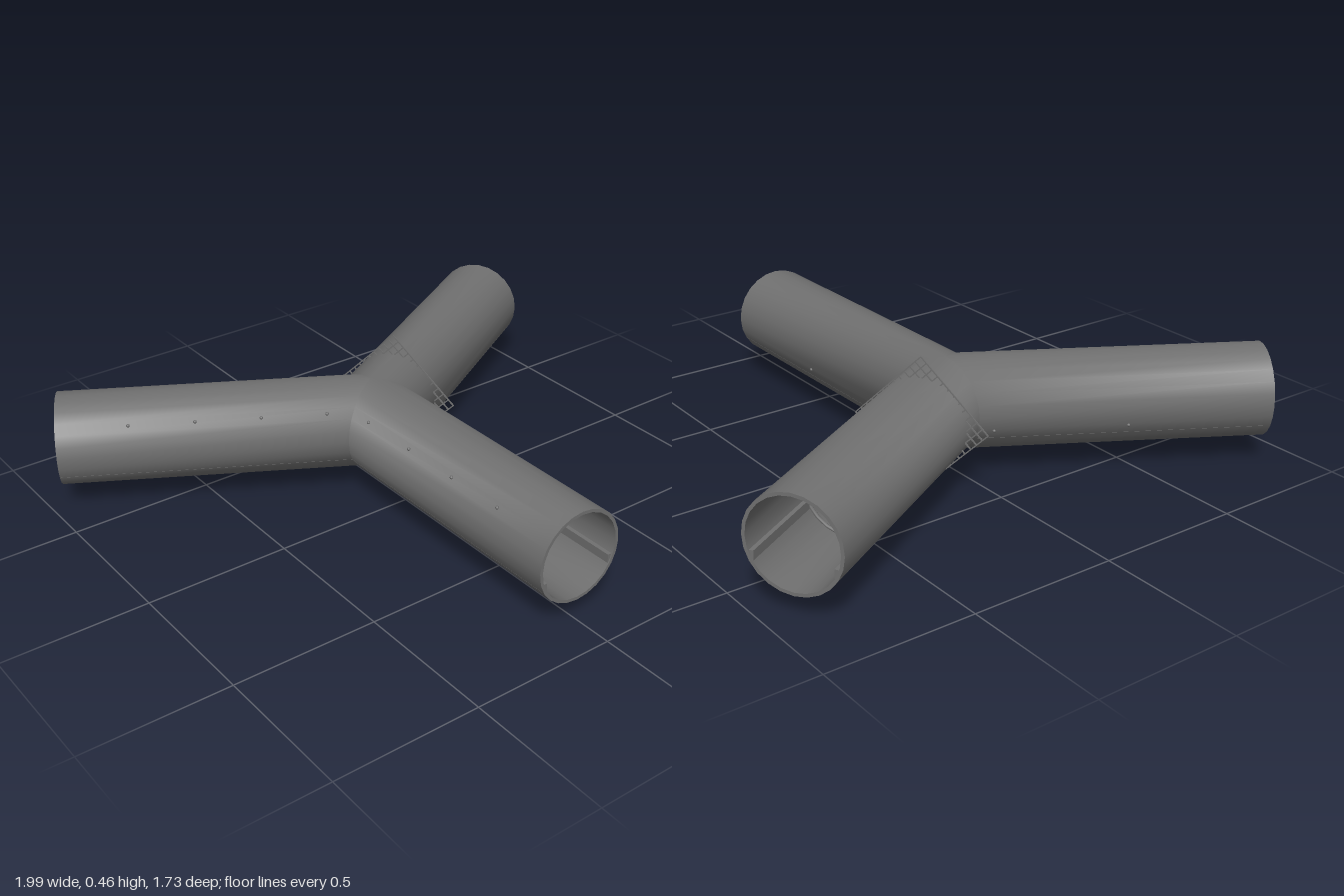
import * as THREE from 'three';
import { toCreasedNormals } from 'three/addons/utils/BufferGeometryUtils.js';

const AXIS_Y = 0.232, HUB_Z = -0.2, LENGTH = 1.06;
const OUTER = 0.158, INNER = 0.147;
const COT60 = 1 / Math.sqrt(3);

export function createModel() {
  const model = new THREE.Group();
  const steel = new THREE.MeshStandardMaterial({ color: 0x707070 });
  const shell = new THREE.MeshStandardMaterial({ color: 0x707070, side: THREE.DoubleSide });

  const add = (parent, name, geometry, material = steel) => {
    const mesh = new THREE.Mesh(geometry, material);
    mesh.name = name;
    parent.add(mesh);
    return mesh;
  };

  // Hollow pipe along +z, its inner end cut to meet the other two at 120 degrees
  function pipeGeometry() {
    const profile = [[OUTER, 0], [OUTER, LENGTH], [INNER, LENGTH], [INNER, 0]]
      .map(([r, t]) => new THREE.Vector2(r, t));
    const lathe = new THREE.LatheGeometry(profile, 24).rotateX(Math.PI / 2);
    const geo = toCreasedNormals(lathe, 0.9);
    const p = geo.attributes.position, n = geo.attributes.normal;
    const v = new THREE.Vector3();
    for (let i = 0; i < p.count; i++) {
      if (p.getZ(i) > 0.01) continue;
      const x = p.getX(i);
      p.setZ(i, Math.abs(x) * COT60);
      // lay the normal in the cut plane so the junction shades smoothly
      const nx = n.getX(i);
      v.set(0.75 * nx, n.getY(i), 0.433 * Math.sign(x) * nx).normalize();
      n.setXYZ(i, v.x, v.y, v.z);
    }
    return geo;
  }

  // Row of small studs on one side of a pipe
  function studRow(arm, side, angle, start, step, count) {
    for (let i = 0; i < count; i++) {
      const stud = add(arm, 'stud', new THREE.SphereGeometry(0.006, 8, 6));
      stud.position.set(side * Math.cos(angle) * OUTER, Math.sin(angle) * OUTER, start + i * step);
    }
  }

  // Three arms, each with a rail along both inner walls
  const pipe = pipeGeometry();
  const railX = 0.131, railStart = railX * COT60, railLength = LENGTH - 0.004 - railStart;
  const rail = new THREE.BoxGeometry(0.014, 0.03, railLength);
  const [front, gratedArm, plainArm] = ['frontArm', 'leftArm', 'rightArm'].map((name, i) => {
    const arm = new THREE.Group();
    arm.name = name;
    arm.position.set(0, AXIS_Y, HUB_Z);
    arm.rotation.y = i * Math.PI * 2 / 3;
    add(arm, 'pipe', pipe, shell);
    for (const side of [-1, 1]) {
      add(arm, 'rail', rail).position.set(side * railX, -0.062, railStart + railLength / 2);
    }
    model.add(arm);
    return arm;
  });

  // Inner hoops in the two rear arms
  for (const arm of [gratedArm, plainArm]) {
    add(arm, 'innerHoop', new THREE.TorusGeometry(0.143, 0.006, 6, 24)).position.z = 0.72;
  }

  // Studs on the front and plain arms
  for (const [arm, side] of [[front, -1], [plainArm, 1]]) {
    studRow(arm, side, 0.67, 0.16, 0.22, 4);
    studRow(arm, -side, -0.3, 0.14, 0.44, 2);
  }

  // Diamond-shaped lattice across one arm
  const grate = new THREE.Group();
  grate.name = 'grate';
  grate.position.z = 0.2;
  grate.rotation.z = Math.PI / 4;
  const width = 0.324, cells = 12;
  for (let i = 0; i <= cells; i++) {
    const offset = (i / cells - 0.5) * width;
    add(grate, 'grateBar', new THREE.BoxGeometry(width, 0.004, 0.004)).position.y = offset;
    add(grate, 'grateBar', new THREE.BoxGeometry(0.004, width, 0.004)).position.x = offset;
  }
  gratedArm.add(grate);

  return model;
}
